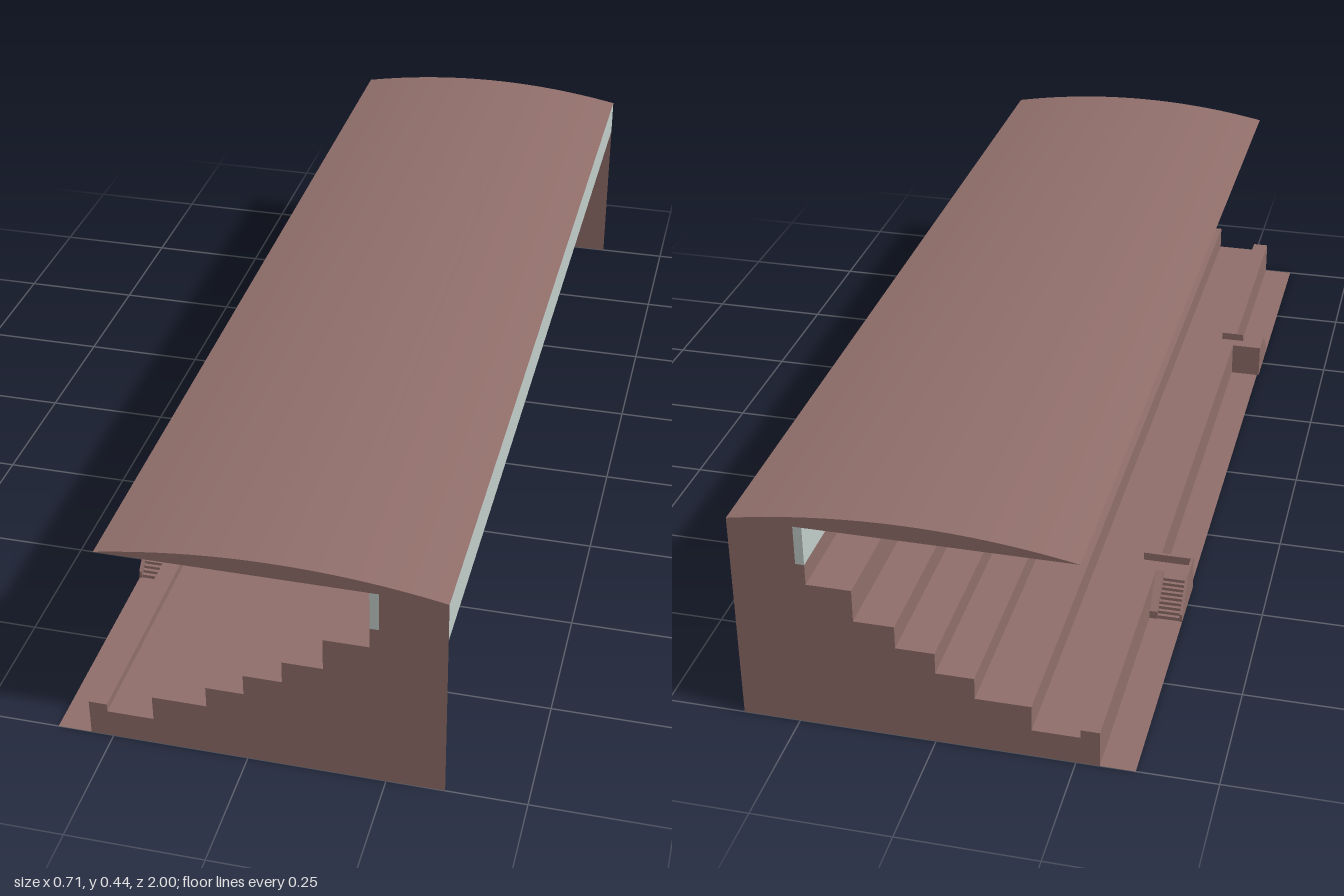
import * as THREE from 'three';

const brown = new THREE.MeshStandardMaterial({ color: 0x916f6b, side: THREE.DoubleSide });
brown.name = 'brown concrete';
const pale = new THREE.MeshStandardMaterial({ color: 0xc3cecb, side: THREE.DoubleSide });
pale.name = 'pale glass';

// Thin sheet: an open x,y profile swept along z from z0 to z1
function sheet(profile, z0, z1) {
  const pos = [];
  for (let i = 0; i < profile.length - 1; i++) {
    const [ax, ay] = profile[i], [bx, by] = profile[i + 1];
    pos.push(ax, ay, z0, ax, ay, z1, bx, by, z1, ax, ay, z0, bx, by, z1, bx, by, z0);
  }
  const g = new THREE.BufferGeometry();
  g.setAttribute('position', new THREE.Float32BufferAttribute(pos, 3));
  g.computeVertexNormals();
  return g;
}

const outline = (pts) => new THREE.Shape(pts.map(([x, y]) => new THREE.Vector2(x, y)));

export function createModel() {
  const model = new THREE.Group();
  model.name = 'grandstand';
  const add = (parent, name, geometry, material = brown) => {
    const m = new THREE.Mesh(geometry, material);
    m.name = name;
    parent.add(m);
    return m;
  };

  // Seating terraces, open underneath and at the back
  const steps = [
    [-0.258, 0.055], [-0.172, 0.055], [-0.172, 0.105], [-0.072, 0.105], [-0.072, 0.147],
    [-0.003, 0.147], [-0.003, 0.188], [0.067, 0.188], [0.067, 0.232], [0.14, 0.232],
    [0.14, 0.295], [0.221, 0.295], [0.221, 0.335],
  ];
  add(model, 'terraces', sheet([...steps, [0.355, 0.335]], -1, 1));

  // Front parapet, lowered to the walkway at the two landings
  const high = [[-0.292, 0], [-0.292, 0.071], [-0.258, 0.071], [-0.258, 0.055]];
  const low = [[-0.292, 0], [-0.292, 0.055], [-0.258, 0.055]];
  const gapIn = 0.447, gapOut = 0.497;
  for (const [a, b] of [[-1, -gapOut], [-gapIn, gapIn], [gapOut, 1]]) {
    add(model, 'parapet', sheet(high, a, b));
  }
  for (const s of [-1, 1]) {
    add(model, 'parapetOpening', sheet(low, s * gapIn, s * gapOut));
    for (const z of [gapIn, gapOut]) {
      const cheek = add(model, 'openingCheek', new THREE.PlaneGeometry(0.034, 0.016));
      cheek.position.set(-0.275, 0.063, s * z);
    }
  }

  // End walls, with their roofline step
  const wall = outline([[-0.292, 0], [-0.292, 0.071], [-0.258, 0.071], ...steps,
    [0.237, 0.335], [0.237, 0.41], [0.355, 0.41], [0.355, 0]]);
  for (const s of [-1, 1]) {
    add(model, 'endWall', new THREE.ShapeGeometry(wall)).position.z = s;
    const pane = add(model, 'endWindow', new THREE.PlaneGeometry(0.016, 0.075), pale);
    pane.position.set(0.229, 0.3725, s);
  }

  // Window bands behind the top row and on the back
  for (const x of [0.221, 0.355]) {
    add(model, 'windowBand', sheet([[x, 0.335], [x, 0.41]], -1, 1), pale);
  }

  // Shallow arched roof
  const arch = new THREE.Shape();
  arch.moveTo(-0.257, 0.41);
  arch.lineTo(0.355, 0.41);
  arch.quadraticCurveTo(0.049, 0.47, -0.257, 0.41);
  const roof = new THREE.ExtrudeGeometry(arch, { depth: 2, bevelEnabled: false, curveSegments: 28 });
  add(model, 'roof', roof).position.z = -1;

  // Ground strip in front of the parapet
  add(model, 'groundStrip', sheet([[-0.351, 0], [-0.292, 0]], -0.44, 0.44));
  for (const s of [-1, 1]) {
    add(model, 'groundStrip', sheet([[-0.355, 0], [-0.292, 0]], s * 0.44, s));
  }

  // Entrance stairs: landing with guard walls and a flight going down outwards
  const box = (parent, name, x0, x1, y0, y1, z0, z1) => {
    add(parent, name, new THREE.BoxGeometry(x1 - x0, y1 - y0, z1 - z0))
      .position.set((x0 + x1) / 2, (y0 + y1) / 2, (z0 + z1) / 2);
  };
  for (const s of [-1, 1]) {
    const stairs = new THREE.Group();
    stairs.name = 'entranceStairs';
    box(stairs, 'landing', -0.35, -0.292, 0, 0.055, 0.447, 0.5);
    box(stairs, 'landingEndWall', -0.355, -0.292, 0, 0.071, 0.44, 0.447);
    const count = 8;
    for (let i = 0; i < count; i++) {
      const z = 0.5 + i * 0.007;
      box(stairs, 'stairTread', -0.35, -0.307, 0, 0.049 - i * 0.006, z, z + 0.007);
    }
    // Sloping side rails; shape x runs along z
    const rail = (name, x, width, start) => {
      const shape = outline([[start, 0], [start, 0.071], [0.5, 0.071], [0.558, 0.016], [0.558, 0]]);
      const g = new THREE.ExtrudeGeometry(shape, { depth: width, bevelEnabled: false });
      g.rotateY(-Math.PI / 2);
      add(stairs, name, g).position.x = x + width;
    };
    rail('outerRail', -0.355, 0.005, 0.447);
    rail('innerRail', -0.307, 0.015, 0.497);
    // Half-turn places the mirrored flight; x is flipped back through scale
    stairs.scale.z = s;
    model.add(stairs);
  }
  return model;
}
